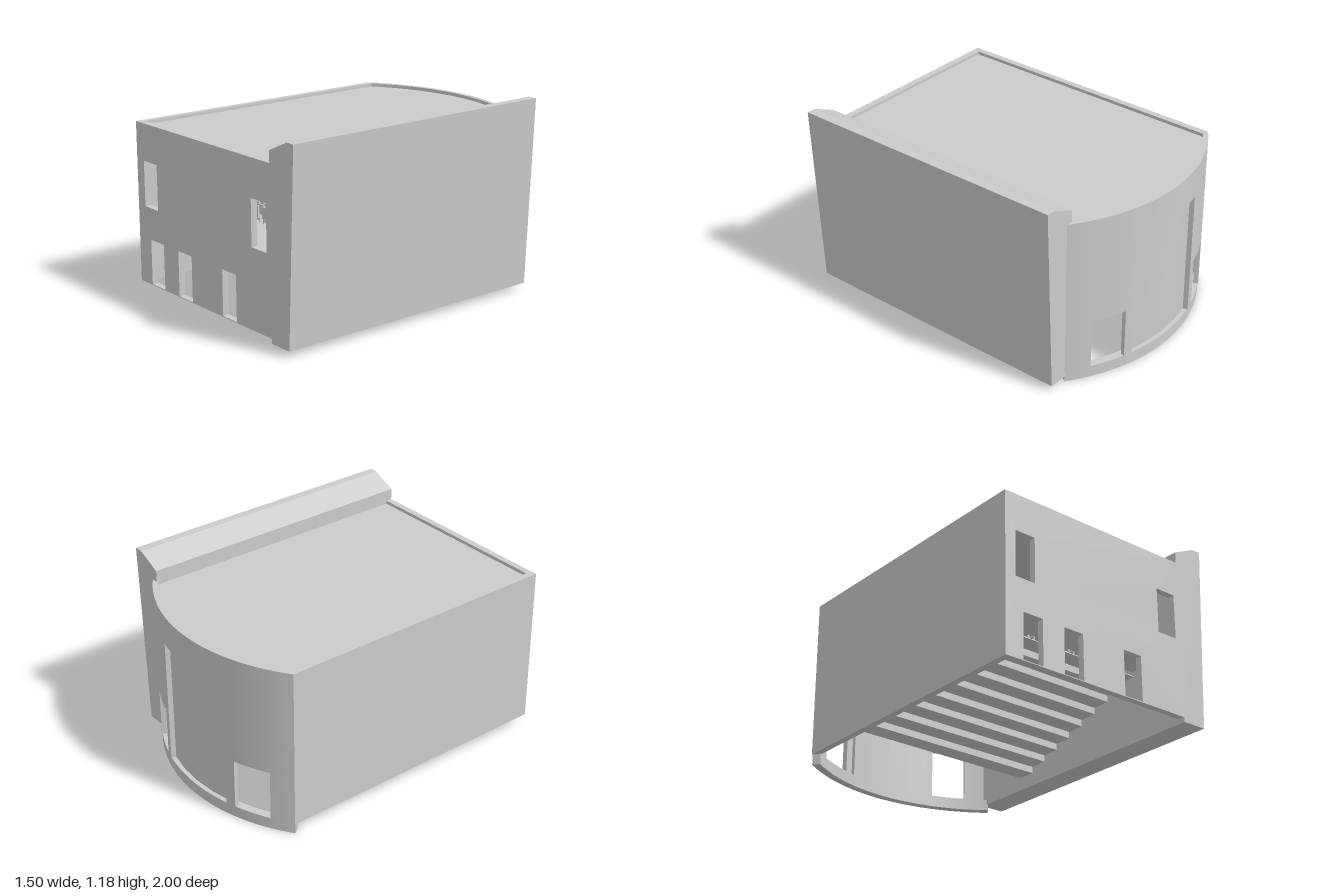
import * as THREE from 'three';
import { toCreasedNormals, mergeGeometries } from 'three/addons/utils/BufferGeometryUtils.js';

const CX = -0.085, CZ = 0.115, R = 1.115; // centre and radius of the curved rear wall

export function createModel() {
  const model = new THREE.Group();
  const mat = new THREE.MeshStandardMaterial({ color: 0xcccccc, side: THREE.DoubleSide });

  function add(name, geometry) {
    const mesh = new THREE.Mesh(geometry, mat);
    mesh.name = name;
    model.add(mesh);
    return mesh;
  }
  function box(x0, x1, y0, y1, z0, z1) {
    const g = new THREE.BoxGeometry(x1 - x0, y1 - y0, z1 - z0);
    g.translate((x0 + x1) / 2, (y0 + y1) / 2, (z0 + z1) / 2);
    return g;
  }
  function shapeOf(points) {
    return new THREE.Shape(points.map(([x, y]) => new THREE.Vector2(x, y)));
  }
  function extrude(shape, depth) {
    return new THREE.ExtrudeGeometry(shape, { depth, bevelEnabled: false });
  }
  // plan outline (x, -z) raised from y0 to y1
  function raise(points, y0, y1) {
    const g = extrude(shapeOf(points), y1 - y0);
    g.rotateX(-Math.PI / 2);
    g.translate(0, y0, 0);
    return g;
  }
  function arc(r, x0, x1, n) {
    const t0 = Math.asin((x0 - CX) / R), t1 = Math.asin((x1 - CX) / R), pts = [];
    for (let i = 0; i <= n; i++) {
      const t = t0 + (t1 - t0) * i / n;
      pts.push([CX + r * Math.sin(t), r * Math.cos(t) - CZ]);
    }
    return pts;
  }
  function curvedSlab(x0, x1, y0, y1, rOut, rIn, n) {
    const outline = [...arc(rOut, x0, x1, n), ...arc(rIn, x0, x1, n).reverse()];
    return raise(outline, y0, y1);
  }

  // front wall with its five windows
  const front = shapeOf([[-0.75, 0.065], [0.54, 0.065], [0.54, 1.04], [-0.75, 1.04]]);
  const windows = [
    [-0.68, -0.545, 0.54, 0.815], [0.37, 0.505, 0.54, 0.815],
    [-0.63, -0.495, 0.07, 0.345], [-0.345, -0.21, 0.07, 0.345], [0.09, 0.22, 0.07, 0.345],
  ];
  for (const [x0, x1, y0, y1] of windows) {
    const hole = new THREE.Path();
    hole.setFromPoints([[x0, y0], [x0, y1], [x1, y1], [x1, y0]].map(p => new THREE.Vector2(...p)));
    front.holes.push(hole);
  }
  add('frontWall', extrude(front, 0.04).translate(0, 0, 0.96));

  // straight side wall and leaning side block
  add('sideWall', box(-0.75, -0.71, 0.065, 1.04, -0.78, 0.96));
  const block = shapeOf([[0.54, 0.037], [0.695, 0.037], [0.745, 1.178], [0.69, 1.178], [0.54, 1.11]]);
  add('leaningSideBlock', extrude(block, 1.78).translate(0, 0, -0.78));

  // roof set just below the parapet
  const roof = [[-0.73, -0.98], [0.55, -0.98], ...arc(R - 0.015, -0.735, 0.56, 32).reverse()];
  add('roof', raise(roof, 1.0, 1.02));

  // curved rear wall, pieced around two doors and the central bay
  const pieces = [
    ['rearParapet', -0.75, 0.58, 0.85, 1.04],
    ['rearUpperWall', -0.75, -0.36, 0.54, 0.85],
    ['rearUpperWall', 0.2, 0.58, 0.54, 0.85],
    ['doorHead', -0.75, -0.36, 0.38, 0.54],
    ['doorHead', 0.2, 0.58, 0.38, 0.54],
    ['doorPier', -0.75, -0.63, 0.07, 0.38],
    ['doorPier', -0.42, -0.36, 0.07, 0.38],
    ['doorPier', 0.2, 0.25, 0.07, 0.38],
    ['doorPier', 0.45, 0.58, 0.07, 0.38],
  ];
  for (const [name, x0, x1, y0, y1] of pieces) {
    const n = Math.max(4, Math.ceil((x1 - x0) * 30));
    add(name, toCreasedNormals(curvedSlab(x0, x1, y0, y1, R, R - 0.03, n), 0.5));
  }
  add('facetedBay', curvedSlab(-0.37, 0.21, 0.07, 0.86, 1.085, 1.065, 4));
  add('curvedPlinth', toCreasedNormals(curvedSlab(-0.75, 0.58, 0, 0.07, R - 0.005, R - 0.055, 40), 0.5));

  // raked seating floor, rising toward the front
  const rows = 9, z0 = -0.42, y0 = 0.13, dz = 0.114, dy = 0.041;
  const top = [], under = [];
  for (let i = 0; i < rows; i++) {
    const z = z0 + i * dz, y = y0 + i * dy;
    top.push([z, y], [z + dz, y]);
    under.push([z + 0.012, y - 0.012], [z + dz + 0.012, y - 0.012]);
  }
  const steps = extrude(shapeOf([...top, ...under.reverse()]), 1.25);
  steps.rotateY(-Math.PI / 2); // profile (z, y) swept along x
  add('seatingSteps', steps.translate(0.54, 0, 0));

  // upper landing behind the last row
  const yTop = y0 + rows * dy;
  add('upperLanding', box(-0.71, 0.54, yTop - 0.02, yTop, z0 + rows * dz, 0.96));

  // rows of chairs facing the rear bay
  for (let i = 0; i < rows; i++) {
    const z = z0 + i * dz, y = y0 + i * dy, parts = [];
    for (let k = 0; k < 11; k++) {
      const x = 0.44 - k * 0.1;
      parts.push(
        box(x - 0.032, x + 0.032, y + 0.04, y + 0.052, z + 0.03, z + 0.085),
        box(x - 0.032, x + 0.032, y + 0.06, y + 0.13, z + 0.085, z + 0.095));
      for (const s of [-1, 1]) {
        const lx = x + s * 0.03;
        parts.push(box(lx - 0.004, lx + 0.004, y, y + 0.075, z + 0.078, z + 0.086));
      }
    }
    add('chairRow', mergeGeometries(parts));
  }
  return model;
}
